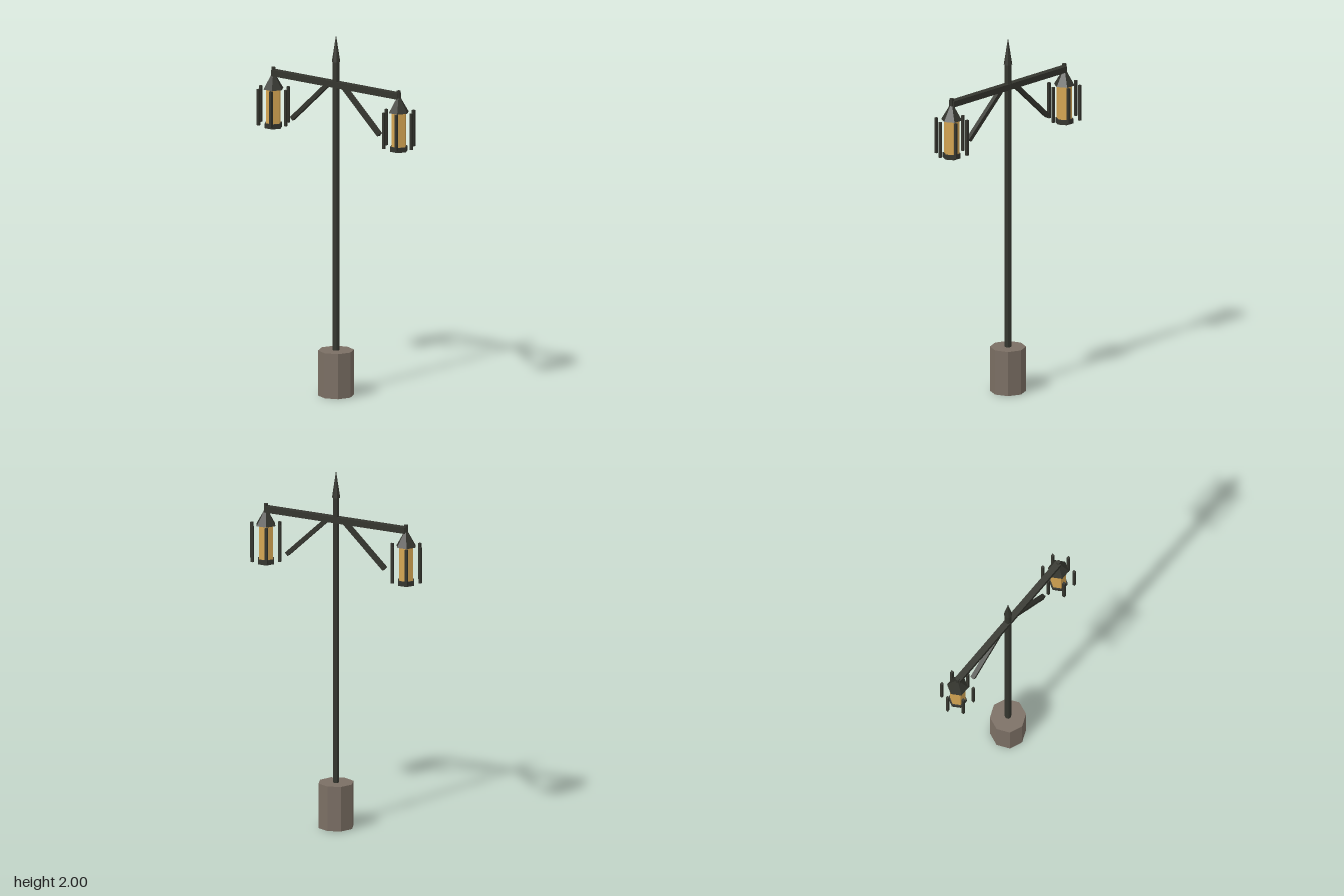
import * as THREE from 'three';

export function createModel() {
  const mat = (name, color) => {
    const m = new THREE.MeshStandardMaterial({ color, flatShading: true });
    m.name = name;
    return m;
  };
  const iron = mat('dark iron', 0x34352e);
  const stone = mat('stone', 0x7b6f64);
  const glass = mat('amber glass', 0xd6a653);

  const model = new THREE.Group();
  model.name = 'streetLamp';

  const add = (parent, name, geometry, material, x, y, z = 0) => {
    const mesh = new THREE.Mesh(geometry, material);
    mesh.name = name;
    mesh.position.set(x, y, z);
    parent.add(mesh);
    return mesh;
  };

  // Upright cylinder or cone between two heights
  const column = (parent, name, material, rTop, rBottom, y0, y1, sides) =>
    add(parent, name, new THREE.CylinderGeometry(rTop, rBottom, y1 - y0, sides), material, 0, (y0 + y1) / 2);

  // Base, pole and pointed finial
  column(model, 'base', stone, 0.098, 0.098, 0, 0.25, 8);
  column(model, 'pole', iron, 0.018, 0.018, 0.25, 1.86, 8);
  column(model, 'finial', iron, 0, 0.023, 1.85, 2, 8);

  // Crossbeam
  add(model, 'crossbeam', new THREE.BoxGeometry(0.864, 0.034, 0.035), iron, 0, 1.725);

  for (const side of [-1, 1]) {
    const label = side > 0 ? 'left' : 'right';

    // Diagonal brace hanging from the beam
    const dx = 0.25, dy = -0.232;
    const brace = add(model, label + 'Brace',
      new THREE.BoxGeometry(Math.hypot(dx, dy), 0.024, 0.024), iron, side * 0.175, 1.606);
    brace.rotation.z = side * Math.atan2(dy, dx);

    // Lantern, hexagonal with corners along x
    const lantern = new THREE.Group();
    lantern.name = label + 'Lantern';
    lantern.position.x = side * 0.431;
    model.add(lantern);

    const parts = [
      column(lantern, 'lanternGlass', glass, 0.043, 0.043, 1.44, 1.64, 6),
      column(lantern, 'lanternRoof', iron, 0, 0.058, 1.635, 1.735, 6),
      column(lantern, 'lanternFloor', iron, 0.05, 0.05, 1.42, 1.447, 6),
      column(lantern, 'lanternHook', iron, 0.012, 0.012, 1.69, 1.755, 6),
    ];
    for (const p of parts) p.rotation.y = Math.PI / 6;

    // Ring of six upright bars
    for (let i = 0; i < 6; i++) {
      const a = i * Math.PI / 3;
      add(lantern, 'lanternBar', new THREE.BoxGeometry(0.014, 0.2, 0.014), iron,
        0.086 * Math.cos(a), 1.54, 0.086 * Math.sin(a));
    }
  }
  return model;
}
